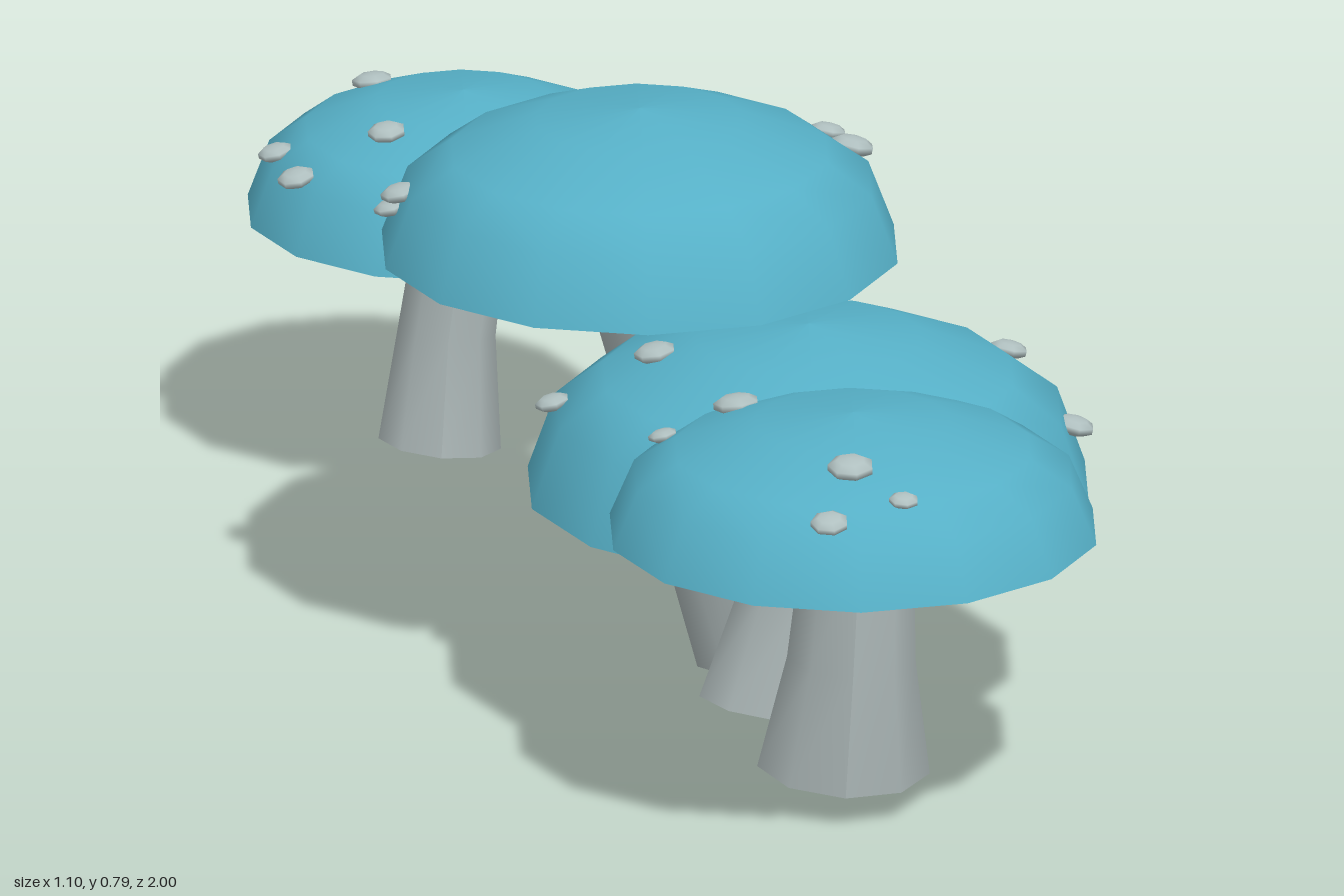
import * as THREE from 'three';

const capBlue = new THREE.MeshStandardMaterial({ color: 0x56b0c7 });
const stemGrey = new THREE.MeshStandardMaterial({ color: 0xa9b4b4 });
const spotGrey = new THREE.MeshStandardMaterial({ color: 0xb0c0c0 });
capBlue.name = 'capBlue';
stemGrey.name = 'stemGrey';
spotGrey.name = 'spotGrey';

// Cap outline as fractions of radius and height, rim to crown
const PROFILE = [[1, 0], [0.9, 0.47], [0.73, 0.69], [0.4, 0.92], [0, 1]];
const SIDES = 14;

// cap: centre x, rim y, centre z, radius, height
// stem: rings of x, y, z, radius from the foot up
// spots: x, z, radius on the cap
const MUSHROOMS = [
  {
    name: 'tallMushroom',
    cap: [-0.055, 0.585, 0.06, 0.353, 0.198],
    stem: [[0.127, 0.026, 0.063, 0.112], [0.033, 0.3, 0.068, 0.092], [-0.047, 0.576, 0.067, 0.09]],
    spots: [[0.204, -0.116, 0.026], [0.235, -0.053, 0.031], [-0.389, 0.032, 0.024], [-0.378, 0.063, 0.027]],
  },
  {
    name: 'wideMushroom',
    cap: [0.163, 0.338, 0.325, 0.384, 0.23],
    stem: [[0.12, 0.042, 0.363, 0.108], [0.152, 0.2, 0.35, 0.083], [0.16, 0.345, 0.334, 0.073]],
    spots: [[0.437, 0.196, 0.027], [0.521, 0.312, 0.029], [-0.18, 0.3, 0.025], [-0.043, 0.33, 0.03]],
  },
  {
    name: 'frontMushroom',
    cap: [0.212, 0.395, 0.663, 0.333, 0.167],
    stem: [[0.2, 0.045, 0.62, 0.118], [0.21, 0.21, 0.645, 0.088], [0.22, 0.395, 0.643, 0.075]],
    spots: [[-0.04, 0.556, 0.021], [0.06, 0.53, 0.033], [0.204, 0.825, 0.033], [0.172, 0.926, 0.027], [0.273, 0.889, 0.021]],
  },
  {
    name: 'backMushroom',
    cap: [-0.267, 0.367, -0.705, 0.295, 0.17],
    stem: [[-0.3, 0.045, -0.682, 0.084], [-0.29, 0.2, -0.694, 0.067], [-0.267, 0.37, -0.698, 0.062]],
    spots: [[-0.384, -0.852, 0.029], [-0.52, -0.683, 0.025], [-0.495, -0.587, 0.027], [-0.373, -0.603, 0.027], [-0.198, -0.487, 0.027]],
  },
];

function part(parent, name, geometry, material) {
  const mesh = new THREE.Mesh(geometry, material);
  mesh.name = name;
  parent.add(mesh);
  return mesh;
}

// Height and steepness of the cap surface at a fraction of its radius
function surfaceAt(f) {
  for (let i = 0; i < PROFILE.length - 1; i++) {
    const [r0, h0] = PROFILE[i], [r1, h1] = PROFILE[i + 1];
    if (f >= r1) {
      const slope = (h1 - h0) / (r0 - r1);
      return { h: Math.max(0, h0 + (r0 - f) * slope), slope };
    }
  }
  return { h: 1, slope: 0 };
}

// Tapered, leaning stem: a three-ring cylinder moved onto the given rings
function stemGeometry(rings) {
  const centres = rings.map(([x, y, z]) => new THREE.Vector3(x, y, z));
  const axis = centres[2].clone().sub(centres[0]).normalize();
  const lean = new THREE.Quaternion().setFromUnitVectors(new THREE.Vector3(0, 1, 0), axis);
  const geometry = new THREE.CylinderGeometry(1, 1, 2, 9, 2);
  const pos = geometry.attributes.position;
  const v = new THREE.Vector3();
  for (let i = 0; i < pos.count; i++) {
    v.fromBufferAttribute(pos, i);
    const ring = Math.round(v.y) + 1;
    v.y = 0;
    v.multiplyScalar(rings[ring][3]).applyQuaternion(lean).add(centres[ring]);
    pos.setXYZ(i, v.x, v.y, v.z);
  }
  geometry.computeVertexNormals();
  return geometry;
}

function buildMushroom({ name, cap, stem, spots }) {
  const group = new THREE.Group();
  group.name = name;
  const [cx, cy, cz, radius, height] = cap;

  // Domed cap and its flat underside
  const points = PROFILE.map(([r, h]) => new THREE.Vector2(r * radius, h * height));
  part(group, 'cap', new THREE.LatheGeometry(points, SIDES), capBlue).position.set(cx, cy, cz);
  const under = new THREE.CircleGeometry(radius, SIDES, Math.PI / 2).rotateX(Math.PI / 2);
  part(group, 'capUnderside', under, stemGrey).position.set(cx, cy, cz);

  part(group, 'stem', stemGeometry(stem), stemGrey);

  // Flattened warts, tipped slightly along the cap surface
  const up = new THREE.Vector3(0, 1, 0);
  for (const [x, z, r] of spots) {
    const dx = x - cx, dz = z - cz;
    const d = Math.hypot(dx, dz);
    const { h, slope } = surfaceAt(d / radius);
    const tip = Math.min(0.25, (slope * height / radius) * 0.4);
    const spot = part(group, 'spot', new THREE.SphereGeometry(r, 7, 5), spotGrey);
    spot.scale.y = 0.42;
    spot.position.set(x, cy + h * height + 0.003, z);
    const normal = new THREE.Vector3((dx / d) * tip, 1, (dz / d) * tip).normalize();
    spot.quaternion.setFromUnitVectors(up, normal);
  }
  return group;
}

export function createModel() {
  const model = new THREE.Group();
  model.name = 'mushroomCluster';
  for (const spec of MUSHROOMS) model.add(buildMushroom(spec));
  return model;
}
